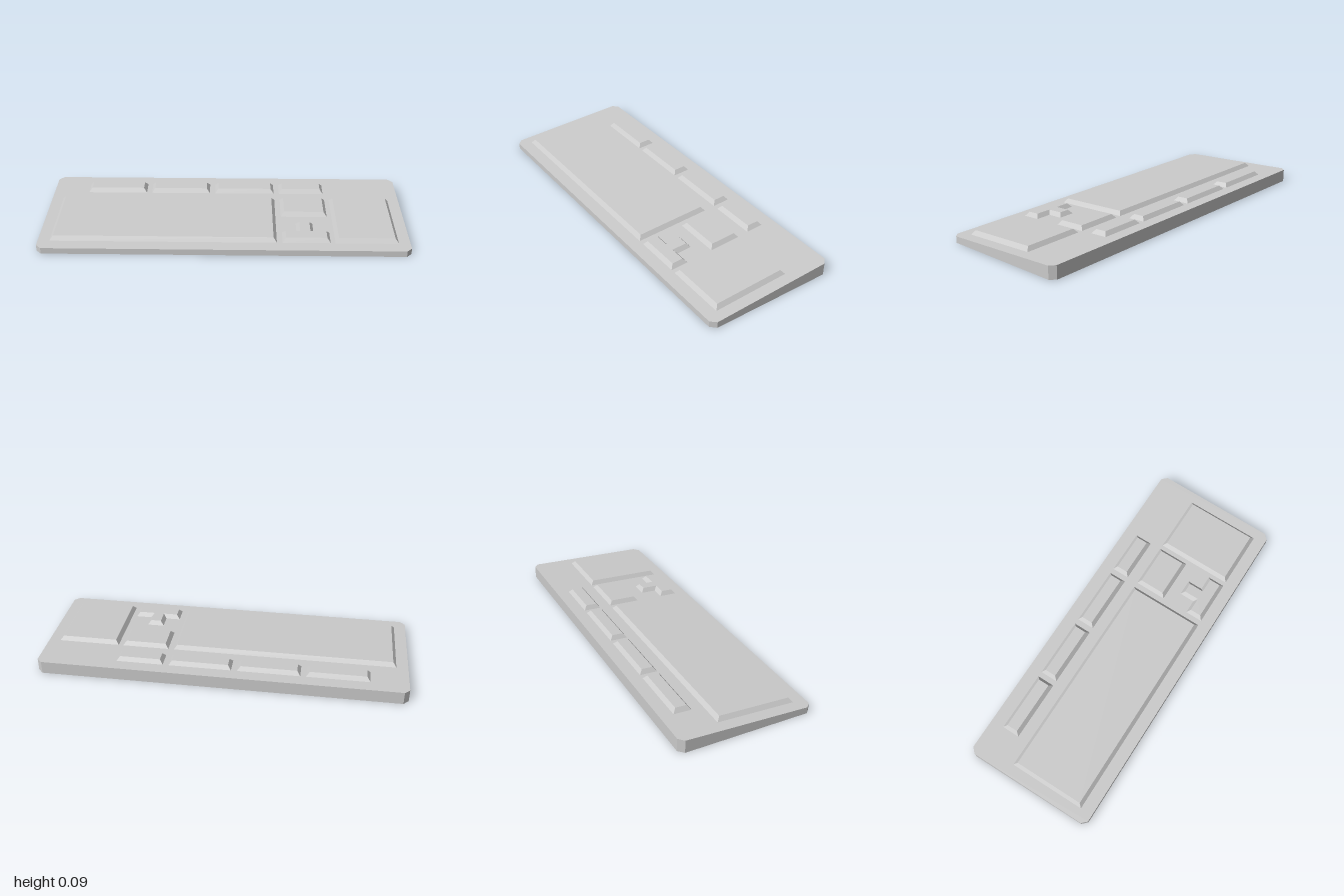
import * as THREE from 'three';

const material = new THREE.MeshStandardMaterial({ color: 0xcccccc, flatShading: true });

// Sloping top face of the case
const deckY = (z) => 0.053 - 0.0518 * z;
const KEY_HEIGHT = 0.022;
const KEY_INSET = 0.018;

// Outlines are [x, -z] pairs, counter-clockwise seen from above
const rect = (x0, x1, z0, z1) => [[x0, -z1], [x1, -z1], [x1, -z0], [x0, -z0]];

// Move every edge of an outline inward by d, with mitred corners
function inset(outline, d) {
  const n = outline.length;
  const normal = (a, b) => new THREE.Vector2(a[1] - b[1], b[0] - a[0]).normalize();
  return outline.map((p, i) => {
    const n1 = normal(outline[(i + n - 1) % n], p);
    const n2 = normal(p, outline[(i + 1) % n]);
    const k = d / (1 + n1.dot(n2));
    return [p[0] + (n1.x + n2.x) * k, p[1] + (n1.y + n2.y) * k];
  });
}

// Solid between two matching outlines, each placed at a height given by z
function loft(name, lower, lowerY, upper, upperY, closedBelow) {
  const place = (outline, height) => outline.map(([x, y]) => [x, height(-y), -y]);
  const a = place(lower, lowerY);
  const b = place(upper, upperY);
  const positions = [];
  const triangle = (...corners) => corners.forEach((c) => positions.push(...c));
  a.forEach((p, i) => {
    const j = (i + 1) % a.length;
    triangle(p, a[j], b[j]);
    triangle(p, b[j], b[i]);
  });
  const contour = upper.map(([x, y]) => new THREE.Vector2(x, y));
  for (const [i, j, k] of THREE.ShapeUtils.triangulateShape(contour, [])) {
    triangle(b[i], b[j], b[k]);
    if (closedBelow) triangle(a[k], a[j], a[i]);
  }
  const geometry = new THREE.BufferGeometry();
  geometry.setAttribute('position', new THREE.Float32BufferAttribute(positions, 3));
  geometry.computeVertexNormals();
  const mesh = new THREE.Mesh(geometry, material);
  mesh.name = name;
  return mesh;
}

// Raised key block with bevelled sides, parallel to the deck
const keyBlock = (name, outline) =>
  loft(name, outline, deckY, inset(outline, KEY_INSET), (z) => deckY(z) + KEY_HEIGHT, false);

export function createModel() {
  const group = new THREE.Group();
  group.name = 'keyboard';

  // Wedge-shaped case with cut corners
  const X = 1, Z = 0.367, C = 0.028;
  const caseOutline = [
    [-X + C, -Z], [X - C, -Z], [X, -Z + C], [X, Z - C],
    [X - C, Z], [-X + C, Z], [-X, Z - C], [-X, -Z + C],
  ];
  group.add(loft('case', caseOutline, () => 0, caseOutline, deckY, true));

  // Main key areas
  group.add(keyBlock('mainKeys', rect(-0.936, 0.286, -0.132, 0.298)));
  group.add(keyBlock('numberPad', rect(0.6, 0.938, -0.132, 0.298)));
  group.add(keyBlock('navigationKeys', rect(0.317, 0.574, -0.132, 0.046)));

  // Row of function key groups along the back
  const functionSpans = [[-0.797, -0.458], [-0.428, -0.089], [-0.057, 0.284], [0.315, 0.571]];
  functionSpans.forEach(([x0, x1], i) => {
    group.add(keyBlock(`functionKeys${i + 1}`, rect(x0, x1, -0.294, -0.196)));
  });

  // Inverted-T arrow keys
  group.add(keyBlock('arrowKeys', [
    [0.317, -0.298], [0.574, -0.298], [0.574, -0.2], [0.488, -0.2],
    [0.488, -0.114], [0.396, -0.114], [0.396, -0.2], [0.317, -0.2],
  ]));

  return group;
}
